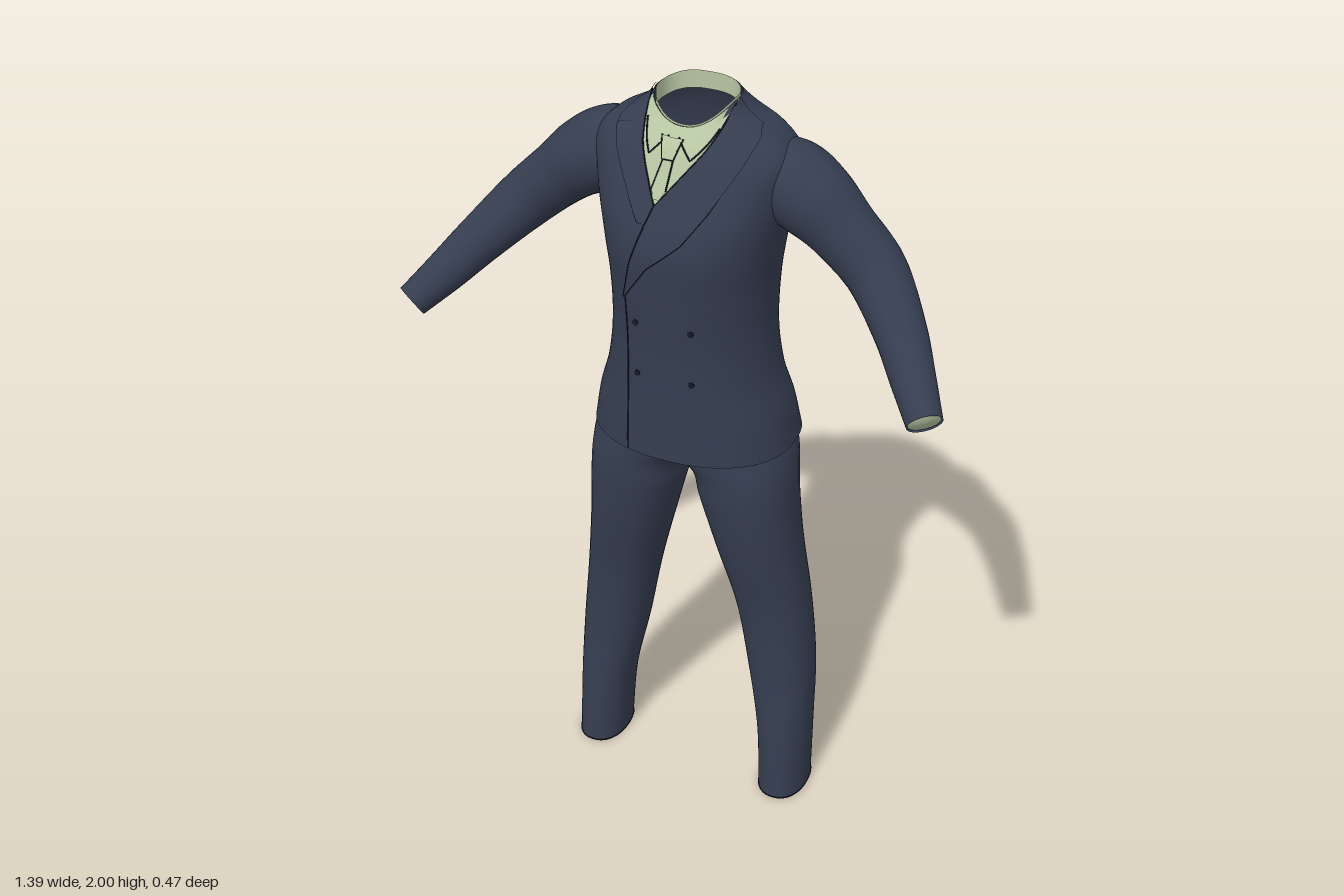
import * as THREE from 'three';

const mat = (name, color) => new THREE.MeshStandardMaterial({ name, color, side: THREE.DoubleSide });
const navy = mat('navy cloth', 0x353d50);
const green = mat('pale green shirt', 0xb6c5a2);
const dark = mat('dark seam', 0x171c28);

// Smooth lookup in a table whose first column is the key
function sample(rows, k) {
  let i = 0;
  while (i < rows.length - 2 && k > rows[i + 1][0]) i++;
  const a = rows[i], b = rows[i + 1], h = b[0] - a[0];
  const t = Math.min(1, Math.max(0, (k - a[0]) / h)), t2 = t * t, t3 = t2 * t;
  const p = rows[Math.max(0, i - 1)], q = rows[Math.min(rows.length - 1, i + 2)];
  return a.map((_, c) => {
    const m0 = (b[c] - p[c]) / (b[0] - p[0]), m1 = (q[c] - a[c]) / (q[0] - a[0]);
    return (2 * t3 - 3 * t2 + 1) * a[c] + (t3 - 2 * t2 + t) * h * m0
      + (3 * t2 - 2 * t3) * b[c] + (t3 - t2) * h * m1;
  });
}

// Surface from fn(u, v), with u and v in 0..1; closed joins the u ends
function grid(fn, nu, nv, closed) {
  const pos = [], idx = [], cols = closed ? nu : nu + 1;
  for (let j = 0; j <= nv; j++)
    for (let i = 0; i < cols; i++) pos.push(...fn(i / nu, j / nv).toArray());
  for (let j = 0; j < nv; j++)
    for (let i = 0; i < nu; i++) {
      const a = j * cols + i, b = j * cols + (i + 1) % cols;
      idx.push(a, b, b + cols, a, b + cols, a + cols);
    }
  const g = new THREE.BufferGeometry();
  g.setAttribute('position', new THREE.Float32BufferAttribute(pos, 3));
  g.setIndex(idx);
  g.computeVertexNormals();
  return g;
}

const spow = (v, e) => Math.sign(v) * Math.abs(v) ** e;
const TAU = Math.PI * 2, lerp = THREE.MathUtils.lerp;

// Jacket rings: front y, side y, back y, half width, front z, back z
const JACKET = [
  [1.105, 1.105, 1.105, 0.26, 0.165, -0.23],
  [1.2, 1.2, 1.2, 0.243, 0.163, -0.203],
  [1.3, 1.3, 1.3, 0.215, 0.16, -0.17],
  [1.42, 1.42, 1.42, 0.2, 0.162, -0.156],
  [1.55, 1.55, 1.55, 0.201, 0.174, -0.17],
  [1.65, 1.65, 1.65, 0.213, 0.181, -0.181],
  [1.72, 1.73, 1.74, 0.228, 0.166, -0.187],
  [1.78, 1.8, 1.82, 0.24, 0.138, -0.185],
  [1.84, 1.865, 1.88, 0.243, 0.108, -0.173],
  [1.88, 1.91, 1.925, 0.205, 0.088, -0.157],
  [1.9, 1.938, 1.955, 0.15, 0.075, -0.142],
  [1.918, 1.965, 1.985, 0.114, 0.058, -0.122],
  [1.93, 1.985, 2.0, 0.1, 0.045, -0.11],
];
const NECK = 1.93, N_FRONT = 2.2, N_BACK = 2.7;

function torso(a, key) {
  const [yF, yS, yB, rx, zF, zB] = sample(JACKET, key);
  const s = Math.sin(a), c = Math.cos(a), e = 2 / (c > 0 ? N_FRONT : N_BACK), zc = -0.035;
  return new THREE.Vector3(
    rx * spow(s, e),
    yS + ((c > 0 ? yF : yB) - yS) * c * c,
    zc + Math.abs(c) ** e * ((c > 0 ? zF : zB) - zc));
}

// Point on the jacket front at x, raised by off
function front(x, key, off) {
  const rx = sample(JACKET, key)[3];
  const a = Math.sign(x) * Math.asin(Math.min(1, Math.abs(x) / rx) ** (N_FRONT / 2));
  return torso(a, key).add(new THREE.Vector3(Math.sin(a), 0.3, Math.cos(a)).multiplyScalar(off));
}

// Thin plate on the front; rows are [y, left x, right x]
function patch(rows, off) {
  return grid((u, v) => {
    const f = v * (rows.length - 1), i = Math.min(rows.length - 2, Math.floor(f));
    const [y, l, r] = rows[i].map((n, c) => lerp(n, rows[i + 1][c], f - i));
    return front(lerp(l, r, u), y, off);
  }, 16, 10 * (rows.length - 1));
}

function tube(points, radius = 0.002) {
  return new THREE.TubeGeometry(new THREE.CatmullRomCurve3(points), points.length * 2, radius, 5);
}
function seam(corners, off) {
  const pts = [];
  for (let i = 0; i < corners.length - 1; i++)
    for (let k = 0; k < 8; k++)
      pts.push(front(lerp(corners[i][0], corners[i + 1][0], k / 8), lerp(corners[i][1], corners[i + 1][1], k / 8), off));
  pts.push(front(...corners.at(-1), off));
  return tube(pts);
}

// Sleeve stations: index, centre x, y, z, radius
const SLEEVE = [
  [0, 0.13, 1.8, -0.06, 0.085],
  [1, 0.22, 1.798, -0.055, 0.1],
  [2, 0.29, 1.767, -0.045, 0.094],
  [3, 0.36, 1.712, -0.038, 0.08],
  [4, 0.45, 1.632, -0.022, 0.073],
  [5, 0.54, 1.54, 0.055, 0.061],
  [6, 0.6, 1.473, 0.128, 0.052],
  [7, 0.658, 1.412, 0.203, 0.042],
];
const sleevePoint = (side, scale = 1) => (u, t) => {
  const at = k => new THREE.Vector3(...sample(SLEEVE, k).slice(1, 4));
  const T = at(Math.min(7, t + 0.05)).sub(at(Math.max(0, t - 0.05))).normalize();
  const e1 = new THREE.Vector3().crossVectors(T, new THREE.Vector3(0, 1, 0)).normalize();
  const e2 = new THREE.Vector3().crossVectors(T, e1);
  const r = sample(SLEEVE, t)[4] * scale, a = u * TAU * side;
  const p = at(t).addScaledVector(e1, r * Math.cos(a)).addScaledVector(e2, r * Math.sin(a));
  if (t >= 7) p.addScaledVector(T, (t - 7) * 0.1);
  p.x *= side;
  return p;
};

// Trouser leg rings: y, inner x, outer x, front z, back z
const LEG = [
  [0.005, 0.212, 0.342, 0.073, -0.12],
  [0.2, 0.197, 0.34, 0.06, -0.128],
  [0.4, 0.158, 0.334, 0.046, -0.148],
  [0.6, 0.12, 0.314, 0.053, -0.153],
  [0.8, 0.068, 0.288, 0.088, -0.152],
  [0.95, 0.026, 0.276, 0.108, -0.153],
  [1.03, 0.0, 0.27, 0.111, -0.165],
  [1.09, -0.09, 0.262, 0.112, -0.188],
  [1.15, -0.15, 0.24, 0.112, -0.19],
  [1.22, -0.16, 0.215, 0.112, -0.165],
];
const legPoint = side => (u, v) => {
  const [y, xi, xo, zF, zB] = sample(LEG, lerp(0.005, 1.22, v)), a = u * TAU * side;
  return new THREE.Vector3(
    side * ((xi + xo) / 2 + (xo - xi) / 2 * spow(Math.sin(a), 0.9)), y,
    (zF + zB) / 2 + (zF - zB) / 2 * spow(Math.cos(a), 0.9));
};

export function createModel() {
  const root = new THREE.Group();
  root.name = 'suit';
  const add = (name, geo, material) => {
    const m = new THREE.Mesh(geo, material);
    m.name = name;
    root.add(m);
    return m;
  };

  // Jacket body
  add('jacketBody', grid((u, v) => torso(u * TAU, lerp(1.105, NECK, v)), 64, 120, true), navy);

  // Sleeves, shirt cuffs and trouser legs
  for (const side of [1, -1]) {
    const tag = side > 0 ? 'left' : 'right';
    const sleeve = sleevePoint(side), cuff = sleevePoint(side, 0.9);
    add(tag + 'Sleeve', grid((u, v) => sleeve(u, v * 7), 32, 56, true), navy);
    add(tag + 'ShirtCuff', grid((u, v) => cuff(u, 6.7 + v * 0.36), 32, 4, true), green);
    add(tag + 'TrouserLeg', grid(legPoint(side), 36, 70, true), navy);
    // Hem stitching
    const hem = legPoint(side), ring = [];
    for (let i = 0; i <= 32; i++) ring.push(hem(i / 32, 0.001));
    add(tag + 'HemEdge', tube(ring), dark);
  }

  // Shirt front and collar band
  add('shirtFront', patch([[1.77, -0.026, -0.024], [1.85, -0.066, 0.04], [NECK, -0.1, 0.1]], 0.003), green);
  add('collarBand', grid((u, v) => {
    const p = torso(u * TAU, NECK);
    p.x *= 0.96;
    p.z = (p.z + 0.035) * 0.95 - 0.035;
    p.y += lerp(-0.04, 0.003, v);
    return p;
  }, 48, 3, true), green);
  for (const s of [1, -1])
    add('collarLeafEdge', seam([[s * 0.085, 1.915], [s * 0.05 - 0.01, 1.872], [s * 0.012 - 0.01, 1.912]], 0.005), dark).scale.set(1, 1, 1);

  // Tie
  add('tieKnot', patch([[1.868, -0.024, 0.002], [1.91, -0.036, 0.014]], 0.009), green);
  add('tieBlade', patch([[1.785, -0.03, -0.015], [1.805, -0.037, -0.003], [1.868, -0.022, 0.0]], 0.006), green);
  add('tieKnotEdge', seam([[-0.036, 1.91], [-0.024, 1.868], [0.002, 1.868], [0.014, 1.91]], 0.008), dark);
  for (const x of [-0.023, 0.001])
    add('tieBladeEdge', seam([[x, 1.868], [x < -0.01 ? -0.038 : -0.003, 1.805]], 0.005), dark);

  // Lapels
  add('rightLapel', patch([[1.73, -0.06, -0.02], [1.77, -0.09, -0.026], [1.86, -0.15, -0.07], [1.89, -0.165, -0.084], [NECK, -0.1, -0.099]], 0.004), navy);
  add('leftLapel', patch([[1.53, -0.1, -0.098], [1.63, -0.074, -0.03], [1.7, -0.05, 0.05], [1.77, -0.025, 0.1], [1.86, 0.045, 0.155], [1.89, 0.068, 0.17], [NECK, 0.099, 0.1]], 0.006), navy);
  add('rightLapelEdge', seam([[-0.1, 1.928], [-0.066, 1.85], [-0.025, 1.77]], 0.003), dark);
  add('leftLapelEdge', seam([[0.1, 1.928], [0.045, 1.86], [-0.025, 1.77], [-0.074, 1.63], [-0.1, 1.53]], 0.005), dark);
  add('rightLapelOuter', seam([[-0.13, 1.895], [-0.165, 1.885], [-0.14, 1.86], [-0.09, 1.77], [-0.06, 1.73]], 0.002), dark);
  add('leftLapelOuter', seam([[0.13, 1.895], [0.165, 1.885], [0.15, 1.86], [0.1, 1.77], [0.05, 1.7], [-0.03, 1.63], [-0.1, 1.53]], 0.003), dark);

  // Front closing, back vent and buttons
  add('frontClosing', seam([[-0.1, 1.53], [-0.1, 1.3], [-0.1, 1.108]], 0), dark);
  const vent = [];
  for (let i = 0; i <= 8; i++) vent.push(torso(Math.PI, lerp(1.107, 1.28, i / 8)));
  add('backVent', tube(vent, 0.003), dark);
  for (const x of [-0.07, 0.07])
    for (const y of [1.33, 1.47]) {
      const b = add('button', new THREE.CylinderGeometry(0.007, 0.007, 0.006, 12), dark);
      b.position.copy(front(x, y, 0.001));
      b.rotation.x = Math.PI / 2;
    }
  return root;
}
